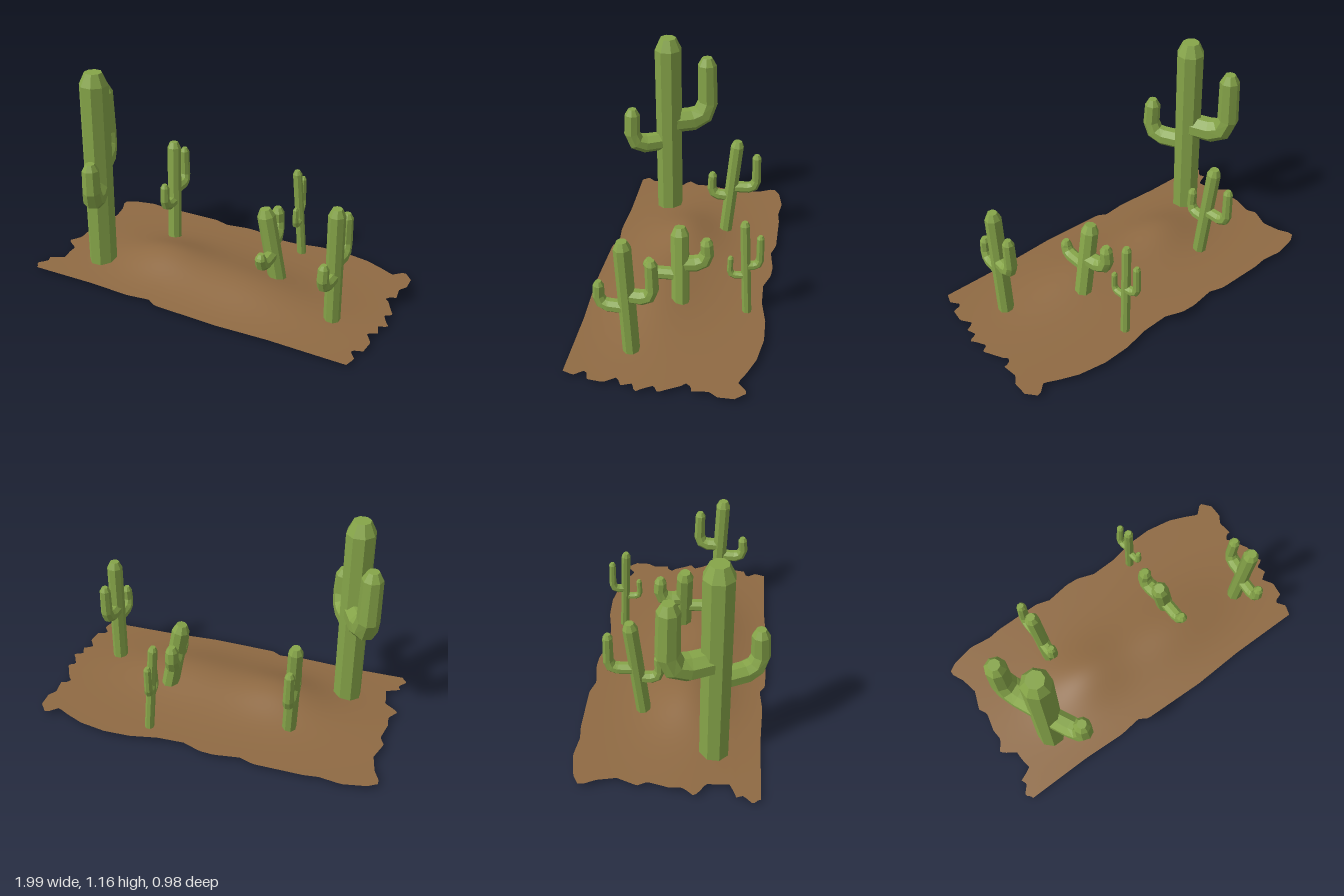
import * as THREE from 'three';

const green = new THREE.MeshStandardMaterial({ color: 0x86a549, flatShading: true });
const brown = new THREE.MeshStandardMaterial({ color: 0x8f6a43, side: THREE.DoubleSide });
const V = (x, y, z) => new THREE.Vector3(x, y, z);
const SIDES = 8;

// Faceted tube through the points, one radius per point; every ring shares the axis `across`
function limb(name, points, radii, across) {
  const pos = [], index = [];
  points.forEach((p, i) => {
    const before = points[Math.max(i - 1, 0)], after = points[Math.min(i + 1, points.length - 1)];
    const a = p.clone().sub(before).normalize(), b = after.clone().sub(p).normalize();
    const tangent = a.add(b).normalize();
    const normal = across.clone().cross(tangent).normalize();
    const side = tangent.clone().cross(normal);
    for (let k = 0; k < SIDES; k++) {
      const t = ((k + 0.5) / SIDES) * Math.PI * 2;
      const v = p.clone().addScaledVector(normal, Math.cos(t) * radii[i]).addScaledVector(side, -Math.sin(t) * radii[i]);
      pos.push(v.x, v.y, v.z);
    }
  });
  for (let i = 0; i < points.length - 1; i++) {
    for (let k = 0; k < SIDES; k++) {
      const a = i * SIDES + k, b = i * SIDES + (k + 1) % SIDES;
      index.push(a, a + SIDES, b, b, a + SIDES, b + SIDES);
    }
  }
  // end caps
  const last = (points.length - 1) * SIDES;
  for (let k = 1; k < SIDES - 1; k++) {
    index.push(0, k, k + 1, last, last + k + 1, last + k);
  }
  const geometry = new THREE.BufferGeometry();
  geometry.setAttribute('position', new THREE.Float32BufferAttribute(pos, 3));
  geometry.setIndex(index);
  const flat = geometry.toNonIndexed();
  flat.computeVertexNormals();
  const mesh = new THREE.Mesh(flat, green);
  mesh.name = name;
  return mesh;
}

// Straight, slightly leaning trunk with a chamfered top
function trunk(base, top, r) {
  const axis = top.clone().sub(base).normalize();
  const shoulder = top.clone().addScaledVector(axis, -0.85 * r);
  return limb('trunk', [base, shoulder, top], [r, r, r * 0.6], V(1, 0, 0));
}

// Arm that leaves the trunk at height `joint`, bends, and rises to the tip
function arm(base, top, { tip, joint, r }) {
  const root = base.clone().lerp(top, (joint - base.y) / (top.y - base.y));
  const out = V(tip.x - root.x, 0, tip.z - root.z);
  const reach = out.length();
  out.normalize();
  const at = (d, y) => root.clone().addScaledVector(out, d).setY(y);
  const points = [
    root,
    at(reach - 1.6 * r, joint),
    at(reach - 0.4 * r, joint + 0.5 * r),
    at(reach + 0.12 * r, joint + 1.8 * r),
    V(tip.x, tip.y - 0.8 * r, tip.z),
    tip,
  ];
  const across = V(0, 1, 0).cross(out).negate();
  return limb('arm', points, [1.25, 1.28, 1.2, 1.08, 1, 0.55].map((s) => s * r), across);
}

const cacti = [
  { name: 'tallCactus', base: V(-0.675, 0.015, 0.217), top: V(-0.655, 1.165, 0.217), r: 0.08, arms: [
    { tip: V(-0.76, 1.015, 0), joint: 0.625, r: 0.057 },
    { tip: V(-0.565, 0.74, 0.422), joint: 0.5, r: 0.046 }] },
  { name: 'backCactus', base: V(-0.42, 0.015, -0.17), top: V(-0.443, 0.64, -0.228), r: 0.04, arms: [
    { tip: V(-0.44, 0.56, -0.342), joint: 0.34, r: 0.027 },
    { tip: V(-0.428, 0.428, -0.085), joint: 0.28, r: 0.026 }] },
  { name: 'leaningCactus', base: V(0.335, 0.01, -0.018), top: V(0.25, 0.477, 0), r: 0.05, arms: [
    { tip: V(0.262, 0.422, -0.145), joint: 0.27, r: 0.036 },
    { tip: V(0.303, 0.295, 0.157), joint: 0.21, r: 0.029 }] },
  { name: 'smallCactus', base: V(0.325, 0.015, -0.375), top: V(0.288, 0.567, -0.343), r: 0.026, arms: [
    { tip: V(0.292, 0.493, -0.427), joint: 0.31, r: 0.02 },
    { tip: V(0.315, 0.365, -0.278), joint: 0.25, r: 0.016 }] },
  { name: 'rightCactus', base: V(0.72, 0.03, 0.17), top: V(0.72, 0.685, 0.196), r: 0.044, arms: [
    { tip: V(0.713, 0.435, 0.322), joint: 0.298, r: 0.028 },
    { tip: V(0.728, 0.597, 0.057), joint: 0.373, r: 0.031 }] },
];

// Ragged ground outline: [position along the edge, edge offset]
const backEdge = [[-0.95, -0.44], [-0.9, -0.47], [-0.77, -0.495], [-0.65, -0.48], [-0.57, -0.49], [-0.3, -0.49],
  [-0.22, -0.465], [-0.08, -0.485], [0, -0.48], [0.1, -0.445], [0.25, -0.45], [0.4, -0.48], [0.55, -0.485],
  [0.7, -0.46], [0.8, -0.42], [0.87, -0.385], [0.93, -0.44], [0.98, -0.38]];
const frontEdge = [[-0.98, 0.46], [-0.6, 0.455], [-0.35, 0.465], [-0.22, 0.45], [-0.17, 0.48], [0.2, 0.49],
  [0.5, 0.475], [0.92, 0.475]];
const leftEdge = [[-0.44, -0.95], [-0.36, -0.92], [-0.25, -0.9], [-0.16, -0.94], [-0.1, -0.915], [0, -0.94],
  [0.07, -0.935], [0.13, -0.98], [0.2, -0.9], [0.25, -0.9], [0.32, -0.89], [0.34, -0.97], [0.38, -0.955], [0.43, -1], [0.46, -0.97]];
const rightEdge = [[-0.38, 0.98], [-0.3, 0.95], [-0.22, 0.96], [-0.17, 0.91], [-0.07, 0.99], [-0.02, 0.95],
  [0.05, 1], [0.09, 0.95], [0.14, 0.97], [0.19, 0.92], [0.24, 0.96], [0.33, 0.95], [0.35, 0.89], [0.41, 0.93], [0.47, 0.91]];

function edge(list, s) {
  let i = 1;
  while (i < list.length - 1 && list[i][0] < s) i++;
  const [a, b] = [list[i - 1], list[i]];
  return THREE.MathUtils.lerp(a[1], b[1], THREE.MathUtils.clamp((s - a[0]) / (b[0] - a[0]), 0, 1));
}

// Dune height: a tilted base with a few soft mounds
const mounds = [[-0.32, 0.07, 0.055, 0.17, 0.13], [0.25, 0.14, 0.045, 0.26, 0.14], [-0.1, 0.04, 0.037, 0.45, 0.19]];
function groundHeight(x, z) {
  let y = 0.021 - 0.014 * z;
  for (const [cx, cz, h, sx, sz] of mounds) {
    y += h * Math.exp(-(((x - cx) / sx) ** 2 + ((z - cz) / sz) ** 2) / 2);
  }
  return y;
}

function ground() {
  const geometry = new THREE.PlaneGeometry(2, 1, 90, 60).rotateX(-Math.PI / 2);
  const p = geometry.attributes.position;
  for (let i = 0; i < p.count; i++) {
    const u = p.getX(i), v = p.getZ(i);
    const x = THREE.MathUtils.lerp(edge(leftEdge, v * 0.94), edge(rightEdge, v * 0.94), (u + 1) / 2);
    const z = THREE.MathUtils.lerp(edge(backEdge, x), edge(frontEdge, x), v + 0.5);
    p.setXYZ(i, x, groundHeight(x, z), z);
  }
  geometry.computeVertexNormals();
  const mesh = new THREE.Mesh(geometry, brown);
  mesh.name = 'sandGround';
  return mesh;
}

export function createModel() {
  const model = new THREE.Group();
  model.name = 'desertCacti';
  model.add(ground());
  for (const { name, base, top, r, arms } of cacti) {
    const cactus = new THREE.Group();
    cactus.name = name;
    cactus.add(trunk(base, top, r), ...arms.map((a) => arm(base, top, a)));
    model.add(cactus);
  }
  return model;
}
